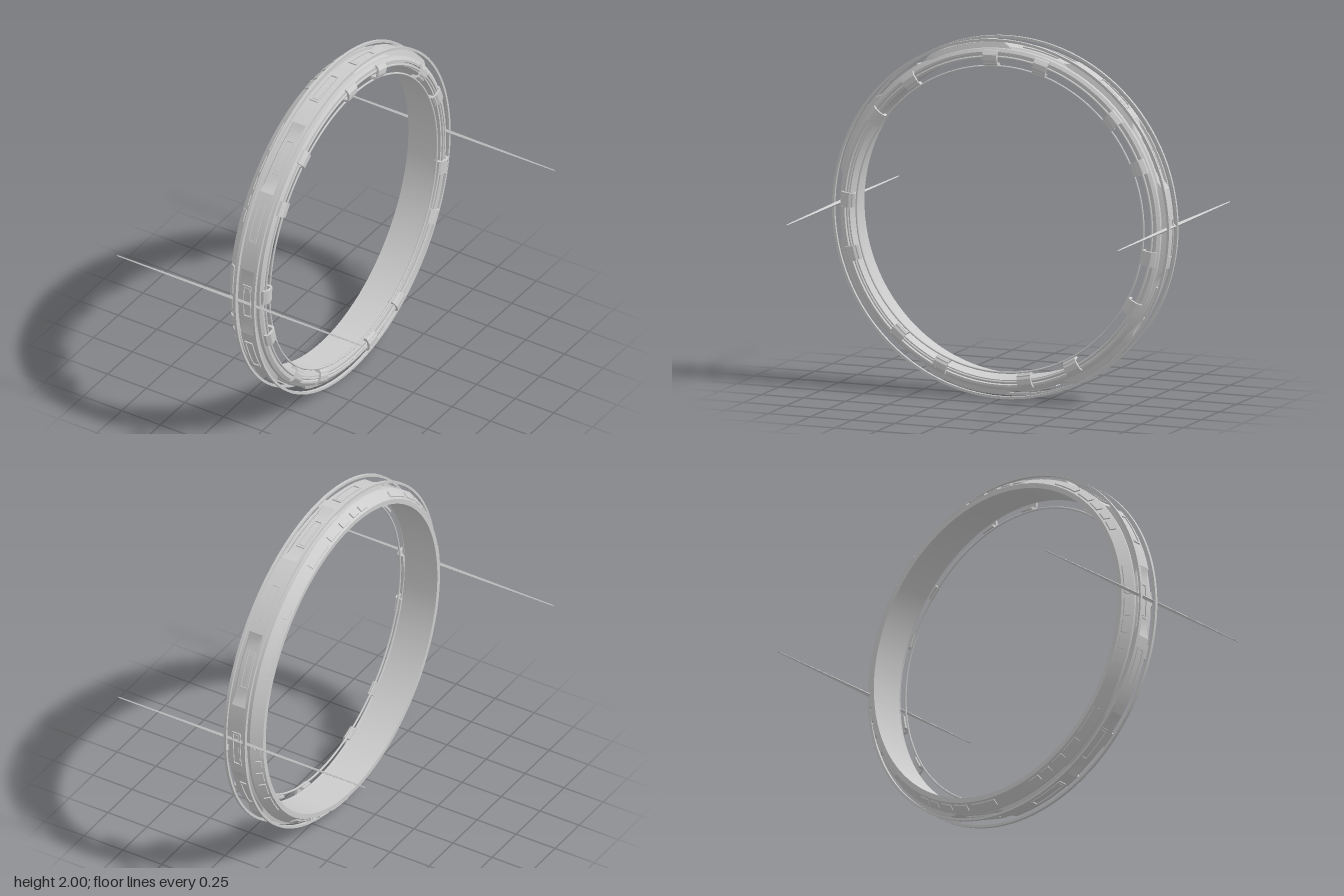
import * as THREE from 'three';
import { toCreasedNormals } from 'three/addons/utils/BufferGeometryUtils.js';

const material = new THREE.MeshStandardMaterial({ color: 0xcccccc });
const DEG = Math.PI / 180;
const COUNT = 7;                 // the ring repeats seven times
const PERIOD = 360 / COUNT;
const BAND = 0.979, RECESS = 0.958;

// Sweeps a clockwise (x, radius) profile round the x axis through angles in degrees.
function sweep(profileAt, angles, closed) {
  const pos = [];
  const rings = angles.map(a => profileAt(a).map(([x, r]) =>
    [x, r * Math.sin(a * DEG), r * Math.cos(a * DEG)]));
  const n = rings[0].length;
  const tri = (a, b, c) => pos.push(...a, ...b, ...c);
  const last = closed ? rings.length : rings.length - 1;
  for (let j = 0; j < last; j++) {
    const p = rings[j], q = rings[(j + 1) % rings.length];
    for (let i = 0; i < n; i++) {
      const k = (i + 1) % n;
      tri(p[i], p[k], q[k]);
      tri(p[i], q[k], q[i]);
    }
  }
  if (!closed) {
    const s = rings[0], e = rings[rings.length - 1];
    for (let i = 1; i < n - 1; i++) {
      tri(s[0], s[i + 1], s[i]);
      tri(e[0], e[i], e[i + 1]);
    }
  }
  const geo = new THREE.BufferGeometry();
  geo.setAttribute('position', new THREE.Float32BufferAttribute(pos, 3));
  return toCreasedNormals(geo, 0.35);
}

function add(parent, name, geo) {
  const mesh = new THREE.Mesh(geo, material);
  mesh.name = name;
  parent.add(mesh);
  return mesh;
}

function group(parent, name) {
  const g = new THREE.Group();
  g.name = name;
  parent.add(g);
  return g;
}

// Curved block with a convex profile between two angles
function arcBlock(parent, name, profile, a0, a1) {
  const steps = Math.max(1, Math.ceil((a1 - a0) / 3));
  const angles = Array.from({ length: steps + 1 }, (_, i) => a0 + (a1 - a0) * i / steps);
  return add(parent, name, sweep(() => profile, angles, false));
}

const rect = (x0, x1, r0, r1) => [[x0, r0], [x0, r1], [x1, r1], [x1, r0]];

// Raised rectangular frame with a thin inner plate
function framedPanel(parent, base, a0, a1) {
  const g = group(parent, 'framedPanel');
  const top = base + 0.007, low = base - 0.01;
  arcBlock(g, 'frameSide', rect(0.008, 0.016, low, top), a0, a1);
  arcBlock(g, 'frameSide', rect(0.052, 0.06, low, top), a0, a1);
  arcBlock(g, 'frameEnd', rect(0.016, 0.052, low, top), a0, a0 + 0.6);
  arcBlock(g, 'frameEnd', rect(0.016, 0.052, low, top), a1 - 0.6, a1);
  arcBlock(g, 'innerPlate', rect(0.02, 0.048, low, base + 0.003), a0 + 1, a1 - 1);
}

// Small plate lying on the sloping side of the ring
function slopePlate(parent, a0, a1) {
  const r = x => 0.92 + (x + 0.1) * 0.7;
  const x0 = -0.088, x1 = -0.058, h = 0.006;
  arcBlock(parent, 'slopePlate', [
    [x0, r(x0) - 0.01], [x0 - h * 0.6, r(x0) + h], [x1 - h * 0.6, r(x1) + h], [x1, r(x1) - 0.01],
  ], a0, a1);
}

// C-shaped bracket holding the inner hoops
function clip(parent, mid) {
  const g = group(parent, 'clip');
  const a0 = mid - 2.6, a1 = mid + 2.6;
  arcBlock(g, 'clipOuterArm', [[0.1, 0.925], [0.1, 0.94], [0.128, 0.94], [0.142, 0.922]], a0, a1);
  arcBlock(g, 'clipBridge', [[0.13, 0.872], [0.13, 0.928], [0.137, 0.928], [0.145, 0.915], [0.145, 0.885], [0.138, 0.872]], a0, a1);
  arcBlock(g, 'clipInnerArm', [[0.095, 0.855], [0.095, 0.868], [0.138, 0.874], [0.138, 0.866], [0.128, 0.855]], a0, a1);
}

export function createModel() {
  const model = new THREE.Group();
  model.name = 'ringStructure';
  const ring = group(model, 'ring');
  ring.position.y = 1;

  // Main body: the outer band steps down into a recess once per period
  const stops = [-12.5, -9.5, -6, -3, 0, 3, 6, 9.5, 12.5, 16, 19, 22, 25.5, 29, 32.5, 36];
  const angles = [];
  for (let k = 0; k < COUNT; k++) for (const s of stops) angles.push(s + k * PERIOD);
  const bodyProfile = a => {
    const local = Math.abs(a - Math.round(a / PERIOD) * PERIOD);
    const b = local < 10 ? RECESS : BAND;
    return [
      [-0.1, 0.892], [-0.1, 0.92], [-0.04, 0.962], [-0.031, 0.962], [-0.029, 0.948],
      [-0.014, 0.948], [-0.006, b], [0.08, b], [0.089, 0.948], [0.108, 0.948],
      [0.12, 0.93], [0.12, 0.918], [0.108, 0.914], [0.108, 0.892],
    ];
  };
  add(ring, 'ringBody', sweep(bodyProfile, angles, true));

  // Thin outer hoops either side of the band
  const even = Array.from({ length: 120 }, (_, i) => i * 3);
  for (const x of [-0.022, 0.098])
    add(ring, 'outerHoop', sweep(() => rect(x - 0.008, x + 0.008, 0.984, 0.998), even, true));

  // Slim inner hoops carried by the clips
  for (const [r, x, t] of [[0.85, 0.112, 0.006], [0.902, 0.118, 0.007]]) {
    const hoop = add(ring, 'innerHoop', new THREE.TorusGeometry(r, t, 8, 120));
    hoop.rotation.y = Math.PI / 2;
    hoop.position.x = x;
  }

  // Repeating details
  const panels = group(ring, 'bandPanels');
  const plates = group(ring, 'slopePlates');
  const clips = group(ring, 'clips');
  for (let k = 0; k < COUNT; k++) {
    const a = k * PERIOD;
    framedPanel(panels, RECESS, a - 6, a + 6.5);
    framedPanel(panels, BAND, a + 22, a + 35);
    for (const [s, e] of [[1, 11.5], [-7, -1], [-13, -8.5], [-18.5, -15], [-24, -20]])
      slopePlate(plates, a + s, a + e);
    clip(clips, a + 3);
    clip(clips, a - 16);
  }

  // Long tapered rods through the front and back of the ring
  for (const z of [-0.98, 0.98]) {
    const rod = group(model, z > 0 ? 'frontRod' : 'backRod');
    rod.position.set(0, 1.012, z);
    for (const side of [-1, 1]) {
      const half = add(rod, 'rodHalf', new THREE.CylinderGeometry(0.004, 0.012, 0.79, 4).toNonIndexed());
      half.geometry.computeVertexNormals();
      half.rotation.z = -side * Math.PI / 2;
      half.position.x = side * 0.395;
    }
  }
  return model;
}
